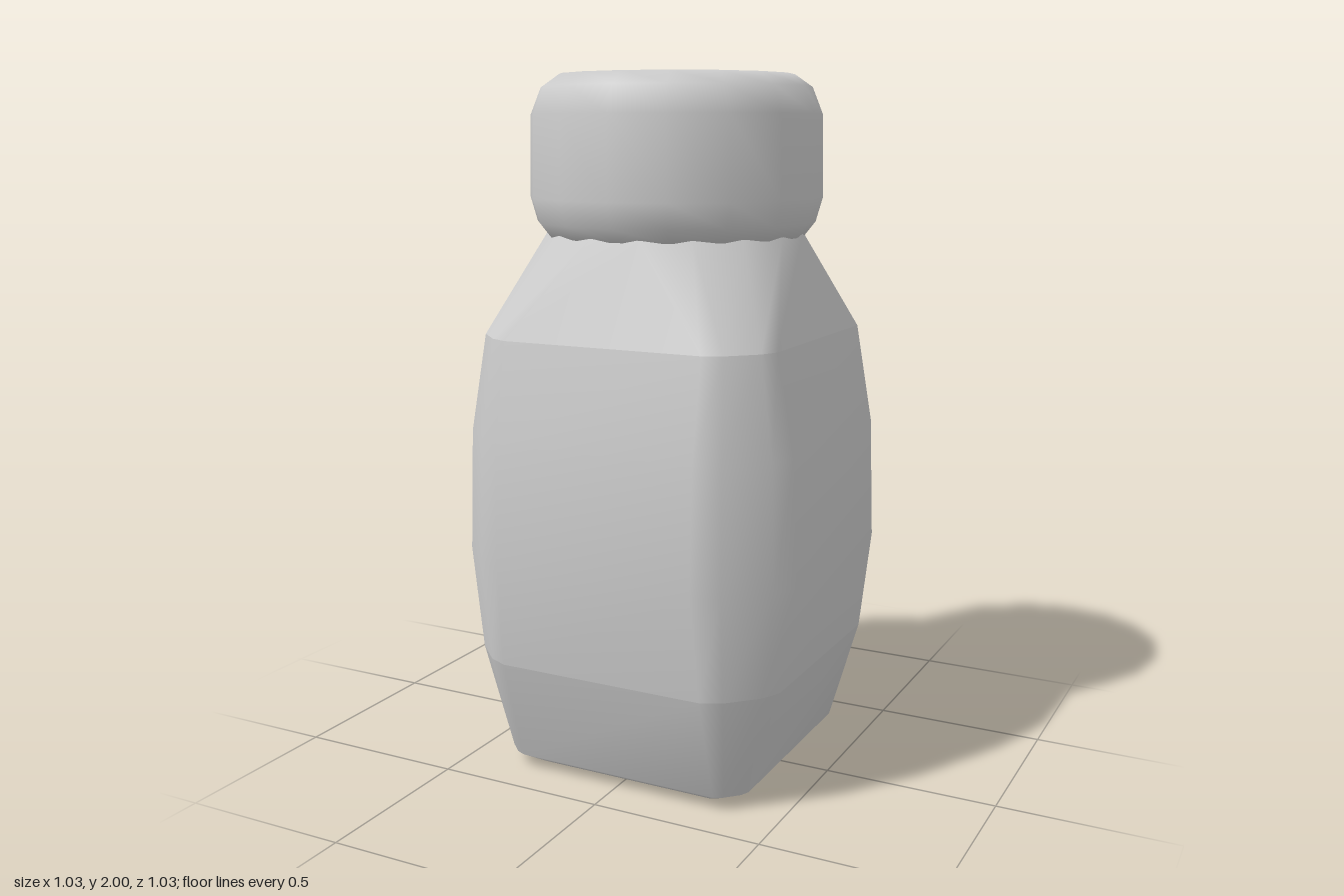
import * as THREE from 'three';

// Ring of 16 points: a square of half width w whose straight edges reach +-s,
// with a three-step bevelled corner in each quadrant.
function squareRing(y, w, s) {
  const a = (w - s) * 0.16, b = (w - s) * 0.35;
  const corner = [[w, s], [w - a, s + b], [s + b, w - a], [s, w]];
  const ring = [];
  for (let q = 0; q < 4; q++) {
    const c = [1, 0, -1, 0][q], n = [0, 1, 0, -1][q];
    for (const [x, z] of corner) ring.push([x * c - z * n, y, x * n + z * c]);
  }
  return ring;
}

// Matching round ring for the neck
function roundRing(y, r) {
  return Array.from({ length: 16 }, (_, i) => {
    const t = (i + 0.5) * Math.PI / 8;
    return [r * Math.cos(t), y, r * Math.sin(t)];
  });
}

// Smooth skin over a stack of rings, optionally closed underneath
function loft(rings, closeBottom = false) {
  const n = 16, index = [];
  const points = rings.flat();
  for (let k = 0; k < rings.length - 1; k++) {
    for (let i = 0; i < n; i++) {
      const a = k * n + i, b = k * n + (i + 1) % n;
      index.push(a, a + n, b, b, a + n, b + n);
    }
  }
  if (closeBottom) {
    const centre = points.length;
    points.push([0, rings[0][0][1], 0]);
    for (let i = 0; i < n; i++) index.push(centre, i, (i + 1) % n);
  }
  const g = new THREE.BufferGeometry();
  g.setAttribute('position', new THREE.Float32BufferAttribute(points.flat(), 3));
  g.setIndex(index);
  g.computeVertexNormals();
  return g;
}

export function createModel() {
  const group = new THREE.Group();
  const grey = new THREE.MeshStandardMaterial({ color: 0xcccccc });
  grey.name = 'plain grey';

  const add = (name, geometry) => {
    const mesh = new THREE.Mesh(geometry, grey);
    mesh.name = name;
    group.add(mesh);
    return mesh;
  };

  // Body in three skins, leaving a crease at the base line and the shoulder line
  const baseLine = squareRing(0.35, 0.475, 0.31);
  const shoulderLine = squareRing(1.28, 0.45, 0.3);
  add('base', loft([squareRing(0, 0.32, 0.27), squareRing(0.04, 0.385, 0.31), baseLine], true));
  add('body', loft([baseLine, squareRing(0.65, 0.513, 0.3), squareRing(1, 0.5, 0.3), shoulderLine]));
  add('shoulder', loft([shoulderLine, roundRing(1.56, 0.37)]));

  // Rounded sixteen-sided lid
  const profile = [
    [0.33, 1.55], [0.37, 1.552], [0.4, 1.59], [0.42, 1.66], [0.415, 1.89],
    [0.385, 1.965], [0.335, 2], [0, 2],
  ].map(([r, y]) => new THREE.Vector2(r, y));
  add('lid', new THREE.LatheGeometry(profile, 16)).rotation.y = 0.025;

  return group;
}
